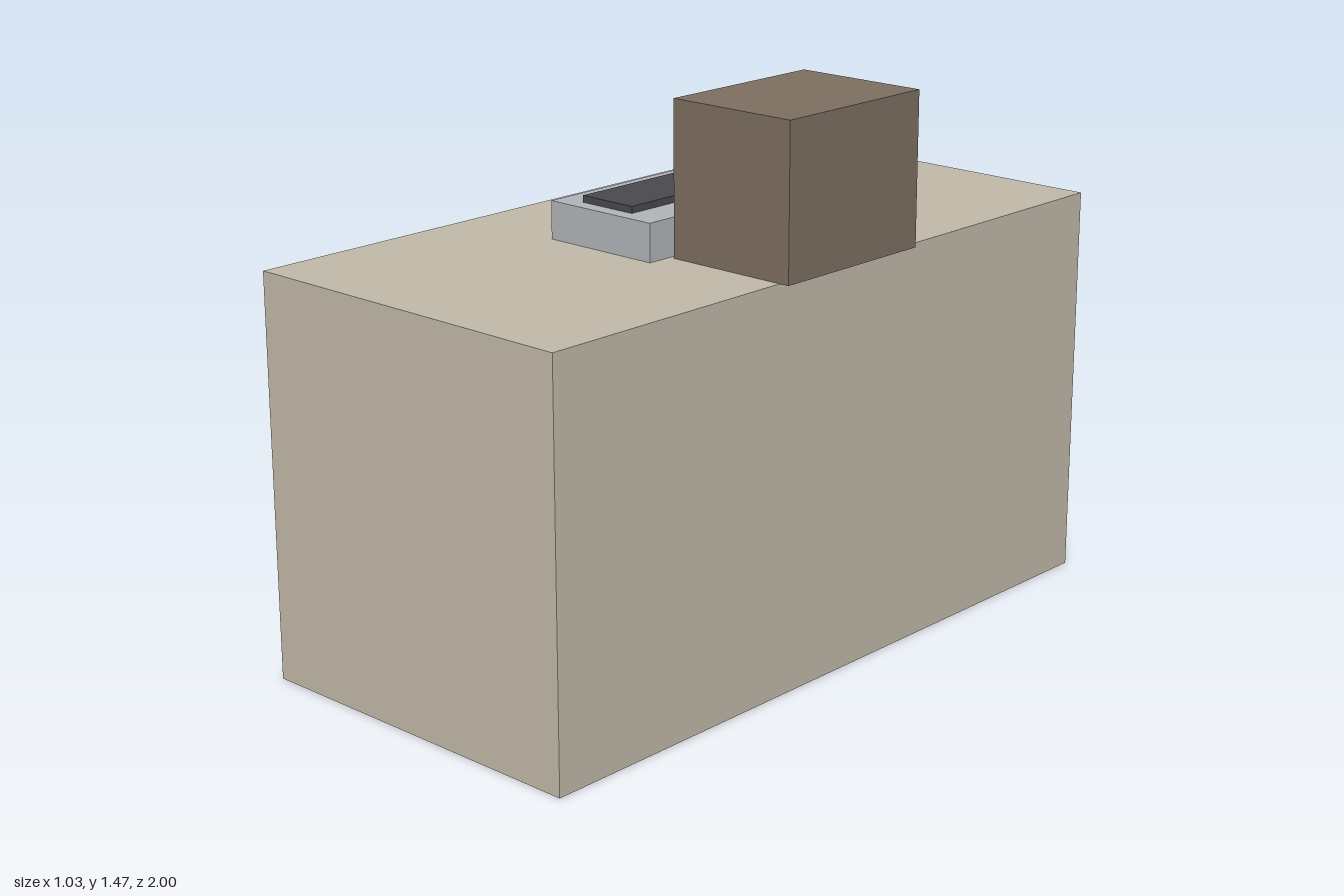
import * as THREE from 'three';

// Box between two limits on each axis
function block(name, color, [x0, x1], [y0, y1], [z0, z1]) {
  const mesh = new THREE.Mesh(
    new THREE.BoxGeometry(x1 - x0, y1 - y0, z1 - z0),
    new THREE.MeshStandardMaterial({ color })
  );
  mesh.position.set((x0 + x1) / 2, (y0 + y1) / 2, (z0 + z1) / 2);
  mesh.name = name;
  return mesh;
}

export function createModel() {
  const model = new THREE.Group();
  model.name = 'computerDesk';
  const top = 1.072;

  // Solid desk
  model.add(block('desk', 0xc0b8a8, [-0.513, 0.485], [0, top], [-1, 1]));

  // Monitor overhanging the desk edge, with its screen facing -x
  const monitor = new THREE.Group();
  monitor.name = 'monitor';
  monitor.add(
    block('monitorCase', 0x7d6e60, [0.141, 0.513], [top, 1.473], [-0.243, 0.243]),
    block('screen', 0x3fa080, [0.127, 0.141], [1.158, 1.416], [-0.172, 0.172])
  );

  // Keyboard base with a raised key panel
  const keyboard = new THREE.Group();
  keyboard.name = 'keyboard';
  keyboard.add(
    block('keyboardBase', 0xb0b4b8, [-0.215, 0.127], [top, 1.172], [-0.314, 0.314]),
    block('keyPanel', 0x48484e, [-0.143, 0.027], [1.172, 1.19], [-0.273, 0.273])
  );

  model.add(monitor, keyboard);
  return model;
}
